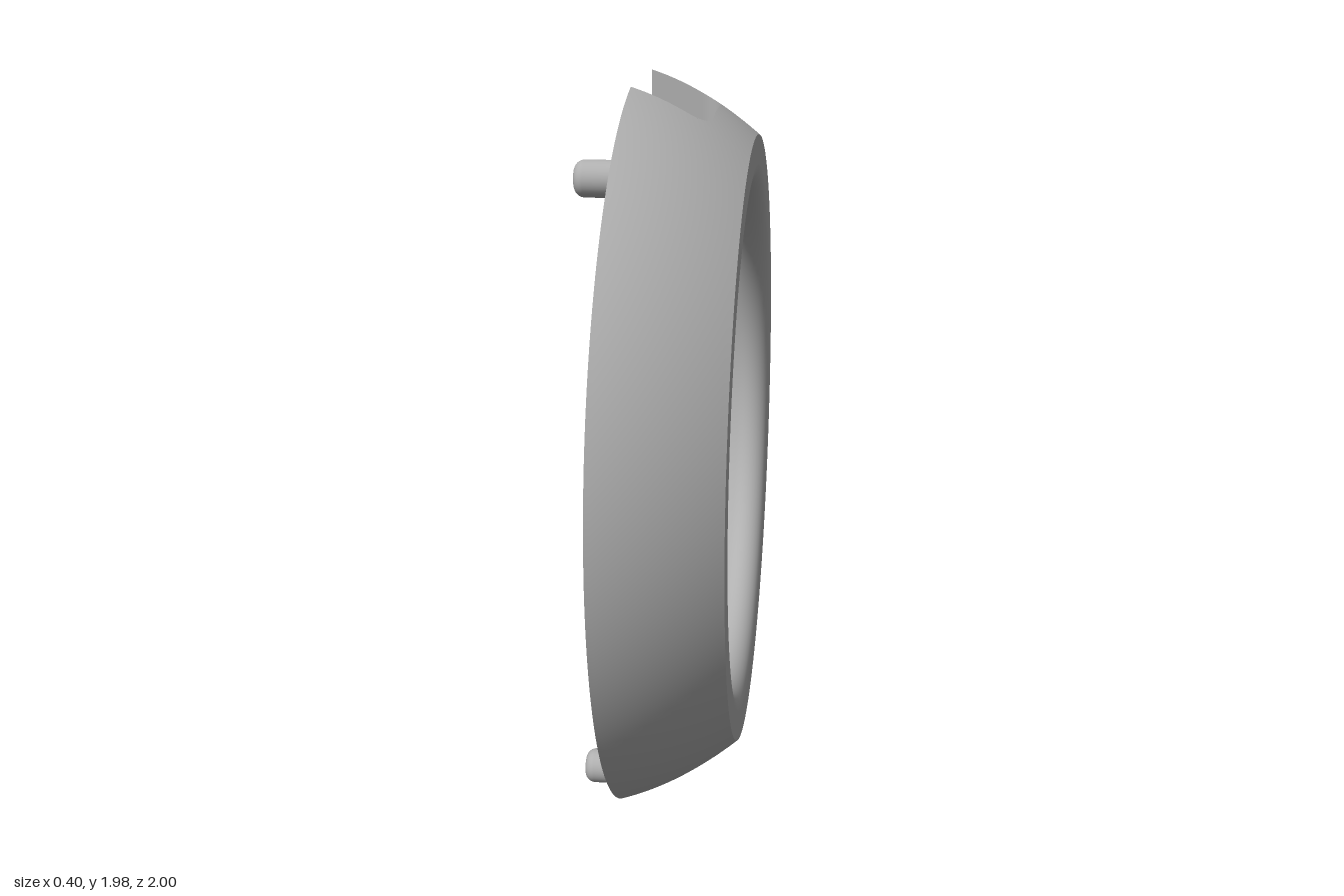
import * as THREE from 'three';

const BACK = -0.1, FRONT = 0.2, HALF = 0.2; // ring depth along x, notch half width
const WALL_END = 0.106, WALL_R = 0.7;       // where the inner wall meets the rounded lip

// Outer radius: a gently bulging slope. Inner wall radius: a straight taper.
const outerR = (x) => {
  const t = (x - BACK) / (FRONT - BACK);
  return 1 - 0.17 * t + 0.08 * t * (1 - t);
};
const innerR = (x) => 0.83 + (WALL_R - 0.83) * (x - BACK) / (WALL_END - BACK);

// Depth of the notch at z, with rounded corners
const notchX = (z) => {
  const d = Math.min(1, Math.max(0, (Math.abs(z) - 0.14) / 0.06));
  return 0.04 + 0.06 * Math.sqrt(1 - d * d);
};

// Profile strips as [x, radius] for v in 0..1; start is the rear x limit
const strips = {
  outerBand: (v, start) => {
    const x = start + (FRONT - start) * v;
    return [x, outerR(x)];
  },
  frontFace: (v) => [FRONT, 0.83 - 0.08 * v],
  innerWall: (v, start) => {
    if (v <= 0.5) { // rounded lip
      const a = (v / 0.5) * (Math.PI / 2 + 0.6);
      return [0.14 + 0.06 * Math.cos(a), 0.75 - 0.06 * Math.sin(a)];
    }
    const x = WALL_END + (start - WALL_END) * (v - 0.5) * 2;
    return [x, innerR(x)];
  },
  backFace: (v) => [BACK, 0.83 + 0.17 * v],
};

// Surface from a function of u, v in 0..1
function grid(nu, nv, f) {
  const pos = [], idx = [];
  for (let i = 0; i <= nu; i++)
    for (let j = 0; j <= nv; j++) pos.push(...f(i / nu, j / nv));
  for (let i = 0; i < nu; i++)
    for (let j = 0; j < nv; j++) {
      const a = i * (nv + 1) + j, b = a + nv + 1;
      idx.push(a, b, b + 1, a, b + 1, a + 1);
    }
  const g = new THREE.BufferGeometry();
  g.setAttribute('position', new THREE.Float32BufferAttribute(pos, 3));
  g.setIndex(idx);
  g.computeVertexNormals();
  return g;
}

const heightAt = (r, z) => 1 + Math.sqrt(r * r - z * z);

export function createModel() {
  const group = new THREE.Group();
  const grey = new THREE.MeshStandardMaterial({ color: 0xb0b0b0, side: THREE.DoubleSide });
  grey.name = 'grey';
  const add = (name, geometry) => {
    const mesh = new THREE.Mesh(geometry, grey);
    mesh.name = name;
    group.add(mesh);
    return mesh;
  };
  const zAt = (u) => HALF * Math.sin((u - 0.5) * Math.PI);

  for (const [name, strip] of Object.entries(strips)) {
    // Main ring, from one side of the notch round to the other
    add(name, grid(180, 24, (u, v) => {
      const [x, r] = strip(v, BACK);
      const a0 = Math.asin(HALF / r);
      const a = a0 + (2 * Math.PI - 2 * a0) * u;
      return [x, 1 + r * Math.cos(a), r * Math.sin(a)];
    }));
    // Bridge in front of the notch
    if (name === 'backFace') continue;
    add(name + 'Bridge', grid(48, 24, (u, v) => {
      const z = zAt(u);
      const [x, r] = strip(v, notchX(z));
      return [x, heightAt(r, z), z];
    }));
  }

  // Notch walls: curved front wall and two flat sides
  const wallPoint = (x, z, v) => {
    const lo = heightAt(innerR(x), z), hi = heightAt(outerR(x), z);
    return [x, lo + (hi - lo) * v, z];
  };
  add('notchFrontWall', grid(48, 1, (u, v) => wallPoint(notchX(zAt(u)), zAt(u), v)));
  for (const s of [-1, 1])
    add(s > 0 ? 'notchSideFront' : 'notchSideBack', grid(12, 1, (u, v) =>
      wallPoint(BACK + 0.14 * (s > 0 ? 1 - u : u), s * HALF, v)));

  // Three locating pins with rounded ends
  const profile = [new THREE.Vector2(0.045, -0.01)];
  for (let i = 0; i <= 6; i++) {
    const a = (i / 6) * Math.PI / 2;
    profile.push(new THREE.Vector2(0.02 + 0.025 * Math.cos(a), 0.075 + 0.025 * Math.sin(a)));
  }
  profile.push(new THREE.Vector2(0, 0.1));
  const pinGeometry = new THREE.LatheGeometry(profile, 32);
  [-90, 30, 150].forEach((deg, i) => {
    const a = THREE.MathUtils.degToRad(deg);
    const pin = add('pin' + (i + 1), pinGeometry);
    pin.rotation.z = Math.PI / 2;
    pin.position.set(BACK, 1 + 0.916 * Math.cos(a), 0.916 * Math.sin(a));
  });
  return group;
}
